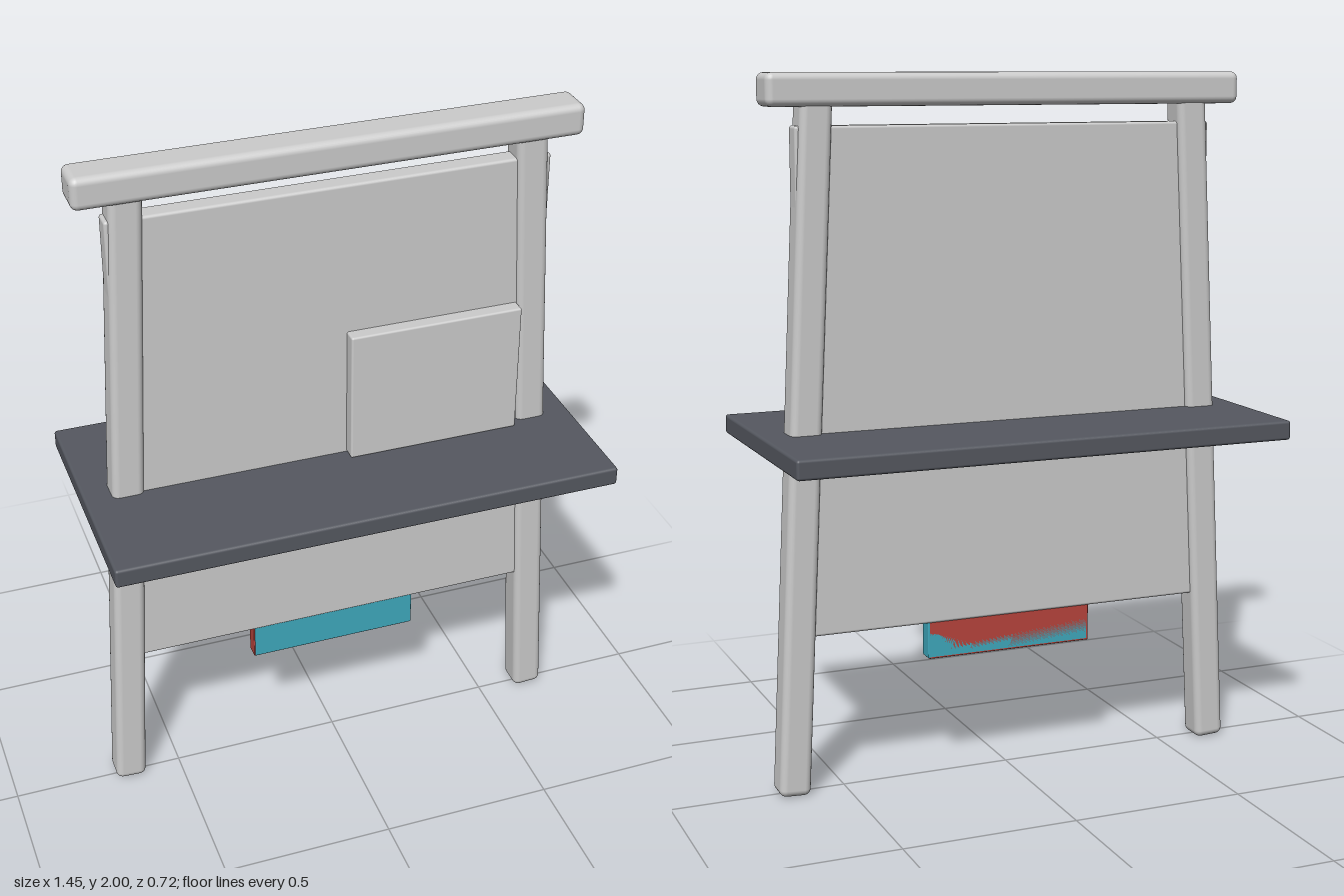
import * as THREE from 'three';
import { RoundedBoxGeometry } from 'three/addons/geometries/RoundedBoxGeometry.js';

const grey = new THREE.MeshStandardMaterial({ color: 0xcccccc });
const slate = new THREE.MeshStandardMaterial({ color: 0x555860 });
const teal = new THREE.MeshStandardMaterial({ color: 0x3fa9bd });
const red = new THREE.MeshStandardMaterial({ color: 0xb8443c });

// Soft-edged box given by its min and max corners
function block(name, min, max, radius, material) {
  const size = max.map((v, i) => v - min[i]);
  const mesh = new THREE.Mesh(new RoundedBoxGeometry(...size, 3, radius), material);
  mesh.position.set(...max.map((v, i) => (v + min[i]) / 2));
  mesh.name = name;
  return mesh;
}

export function createModel() {
  const group = new THREE.Group();
  group.name = 'easelStand';

  // Splayed legs, mirrored left and right
  for (const side of [1, -1]) {
    const bottom = new THREE.Vector2(0.655, 0.003);
    const top = new THREE.Vector2(0.556, 1.96);
    const leg = new THREE.Mesh(
      new RoundedBoxGeometry(0.09, bottom.distanceTo(top), 0.09, 3, 0.02), grey);
    leg.position.set(side * (bottom.x + top.x) / 2, (bottom.y + top.y) / 2, -0.008);
    leg.rotation.z = side * Math.atan2(bottom.x - top.x, top.y - bottom.y);
    leg.name = side > 0 ? 'leftLeg' : 'rightLeg';
    group.add(leg);
  }

  group.add(
    // Bar across the top
    block('topBar', [-0.7, 1.91, -0.064], [0.7, 2, 0.05], 0.02, grey),
    // Large panel held between the legs
    block('panel', [-0.617, 0.457, -0.034], [0.617, 1.86, 0.024], 0.008, grey),
    // Small sheet standing on the shelf
    block('sheet', [0.035, 1.03, 0.01], [0.54, 1.42, 0.064], 0.006, grey),
    // Shelf through the legs
    block('shelf', [-0.725, 0.975, -0.36], [0.725, 1.03, 0.36], 0.008, slate),
    // Two-tone block under the panel; the red half shows at the right end and below
    block('redBlock', [-0.252, 0.35, -0.028], [0.248, 0.48, 0.016], 0.003, red),
    block('tealBlock', [-0.249, 0.352, -0.028], [0.25, 0.48, 0.018], 0.003, teal),
  );
  return group;
}
